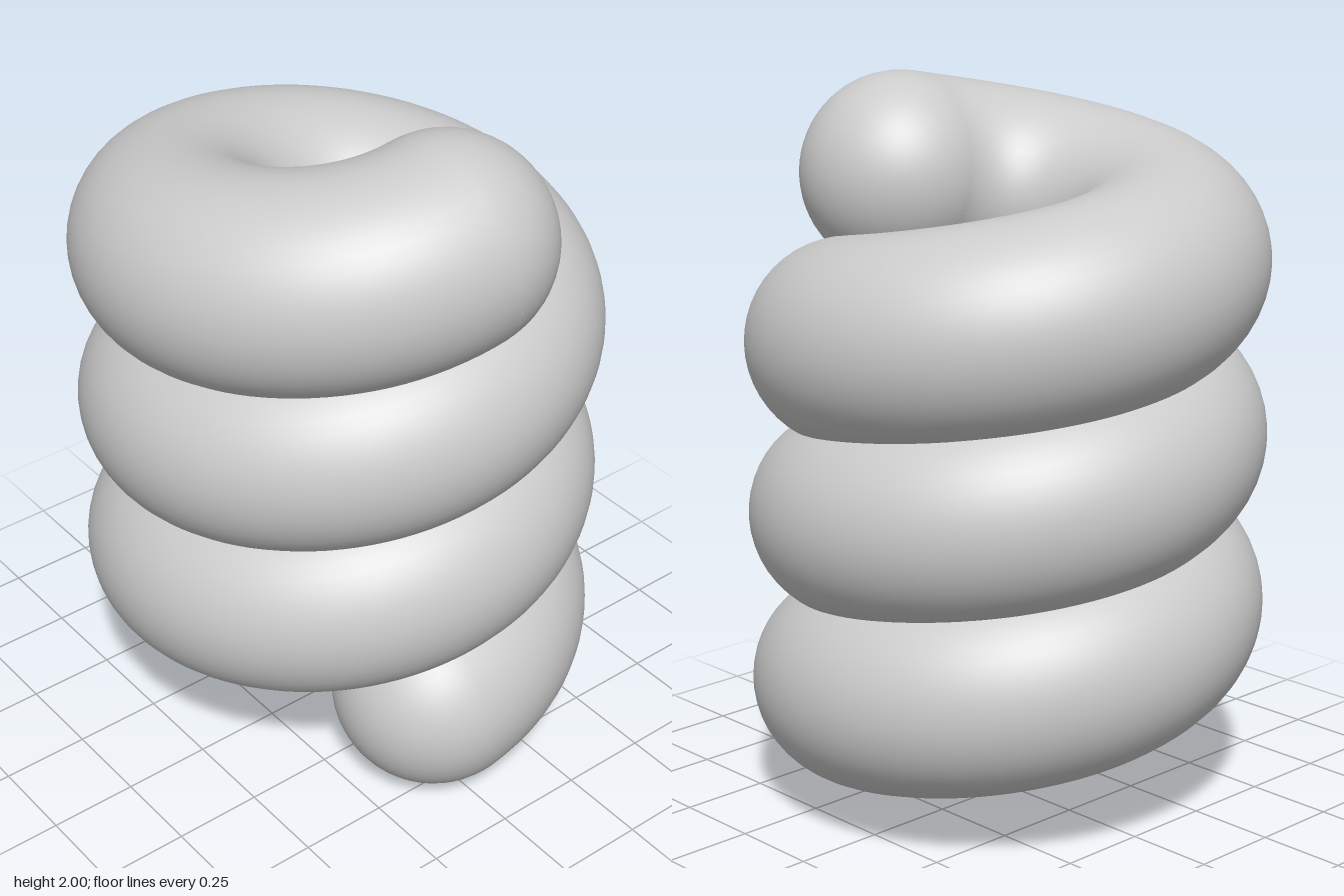
import * as THREE from 'three';

const COIL_RADIUS = 0.427;
const TUBE_RADIUS = 0.285;
const TURNS = 3;
const HEIGHT = 2;

// Helix starting at +x, rising towards the back first
class Helix extends THREE.Curve {
  getPoint(t, target = new THREE.Vector3()) {
    const a = t * TURNS * Math.PI * 2;
    const rise = HEIGHT - 2 * TUBE_RADIUS;
    return target.set(
      COIL_RADIUS * Math.cos(a),
      TUBE_RADIUS + rise * t,
      -COIL_RADIUS * Math.sin(a)
    );
  }
}

export function createModel() {
  const group = new THREE.Group();
  group.name = 'coiledSpring';
  const material = new THREE.MeshStandardMaterial({ color: 0xcccccc });
  const helix = new Helix();

  // Coil
  const coil = new THREE.Mesh(new THREE.TubeGeometry(helix, 288, TUBE_RADIUS, 48, false), material);
  coil.name = 'coil';
  group.add(coil);

  // Rounded ends: hemispheres facing outward along the coil
  const capGeometry = new THREE.SphereGeometry(TUBE_RADIUS, 48, 16, 0, Math.PI * 2, 0, Math.PI / 2);
  const up = new THREE.Vector3(0, 1, 0);
  for (const [name, t, sign] of [['bottomEnd', 0, -1], ['topEnd', 1, 1]]) {
    const cap = new THREE.Mesh(capGeometry, material);
    cap.name = name;
    cap.position.copy(helix.getPoint(t));
    cap.quaternion.setFromUnitVectors(up, helix.getTangent(t).multiplyScalar(sign));
    group.add(cap);
  }
  return group;
}
